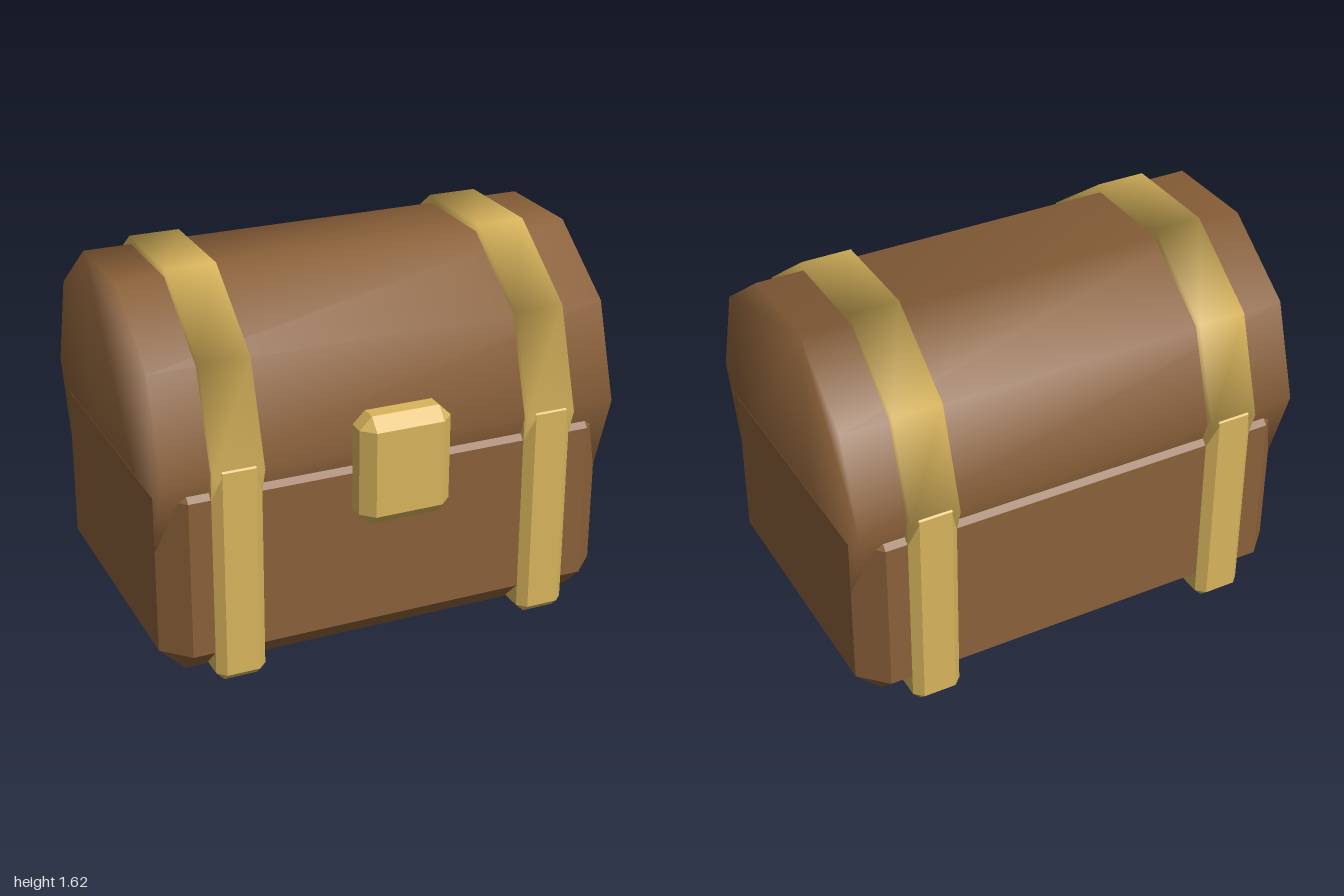
import * as THREE from 'three';
import { mergeVertices } from 'three/addons/utils/BufferGeometryUtils.js';
import { ConvexGeometry } from 'three/addons/geometries/ConvexGeometry.js';

// Box between two corners with every edge chamfered
function chamferBox(min, max, b) {
  const c = min.map((v, i) => (v + max[i]) / 2);
  const h = max.map((v, i) => (v - min[i]) / 2);
  const points = [];
  for (const sx of [-1, 1]) for (const sy of [-1, 1]) for (const sz of [-1, 1]) {
    const s = [sx, sy, sz];
    for (let full = 0; full < 3; full++) {
      const p = c.map((v, i) => v + s[i] * (h[i] - (i === full ? 0 : b)));
      points.push(new THREE.Vector3(...p));
    }
  }
  return new ConvexGeometry(points);
}

// Ten-sided drum lying along x, smoothed over all its edges
function drum(radius, length) {
  const corners = [];
  for (let i = 0; i < 10; i++) {
    const a = (i / 10) * Math.PI * 2;
    corners.push(new THREE.Vector2(radius * Math.cos(a), radius * Math.sin(a)));
  }
  let g = new THREE.ExtrudeGeometry(new THREE.Shape(corners), { depth: length, bevelEnabled: false });
  g.translate(0, 0, -length / 2);
  g.rotateY(Math.PI / 2);
  g.deleteAttribute('uv');
  g.deleteAttribute('normal');
  g = mergeVertices(g, 1e-4);
  g.computeVertexNormals();
  return g;
}

export function createModel() {
  const chest = new THREE.Group();
  chest.name = 'treasureChest';
  const wood = new THREE.MeshStandardMaterial({ color: 0x8a6039 });
  wood.name = 'brown wood';
  const brass = new THREE.MeshStandardMaterial({ color: 0xd8b45c });
  brass.name = 'brass';

  const add = (name, geometry, material, x = 0, y = 0, z = 0) => {
    const mesh = new THREE.Mesh(geometry, material);
    mesh.name = name;
    mesh.position.set(x, y, z);
    chest.add(mesh);
  };

  // Wooden body and rounded lid
  const lidY = 0.93, lidZ = -0.045;
  add('base', chamferBox([-1, 0.02, -0.73], [1, 0.93, 0.64], 0.11), wood);
  add('lid', drum(0.69, 1.998), wood, 0, lidY, lidZ);

  // Metal bands around the lid and body on both sides
  for (const [side, s] of [['left', 1], ['right', -1]]) {
    const x = s * 0.69;
    add(side + 'LidBand', drum(0.725, 0.214), brass, x, lidY, lidZ);
    add(side + 'BaseBand', chamferBox([-0.107, 0, -0.77], [0.107, 0.98, 0.68], 0.036), brass, x);
  }

  // Lock plate
  add('lock', chamferBox([-0.2, 0.62, 0.6], [0.2, 1.095, 0.773], 0.053), brass);

  return chest;
}
